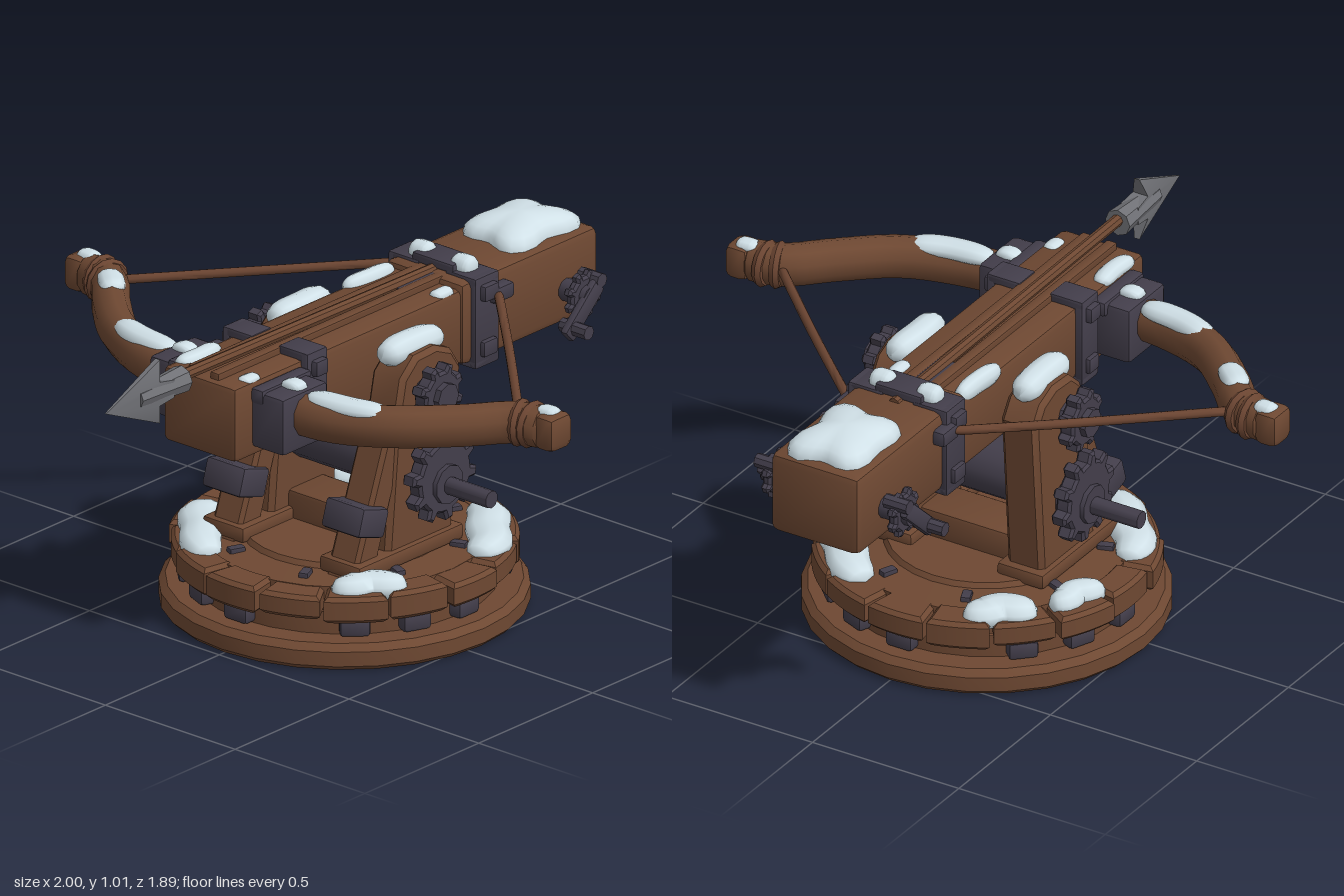
import * as THREE from 'three';
import { toCreasedNormals } from 'three/addons/utils/BufferGeometryUtils.js';
import { RoundedBoxGeometry } from 'three/addons/geometries/RoundedBoxGeometry.js';

const material = (name, color) => {
  const m = new THREE.MeshStandardMaterial({ color });
  m.name = name;
  return m;
};
const V = (x, y, z) => new THREE.Vector3(x, y, z);

export function createModel() {
  const root = new THREE.Group();
  root.name = 'ballista';
  const wood = material('wood', 0x6e4832);
  const iron = material('dark iron', 0x433e4b);
  const steel = material('steel', 0x707176);
  const snow = material('snow', 0xd3e3ea);
  const rope = material('rope', 0x6a4431);

  const add = (name, geo, mat, x = 0, y = 0, z = 0, crease = 0.65) => {
    const mesh = new THREE.Mesh(toCreasedNormals(geo, crease), mat);
    mesh.name = name;
    mesh.position.set(x, y, z);
    root.add(mesh);
    return mesh;
  };
  const box = (name, mat, w, h, d, x, y, z, bevel = 0.012) =>
    add(name, new RoundedBoxGeometry(w, h, d, 1, bevel), mat, x, y, z);
  // Cylinder lying along z
  const axle = (name, mat, r, len, x, y, z, sides = 10) =>
    add(name, new THREE.CylinderGeometry(r, r, len, sides).rotateX(Math.PI / 2), mat, x, y, z);
  // Round-ended sweep along a curve, width and height given as radii
  const sweep = (name, mat, pts, width, height, power = 4, crease = 1.2) => {
    const curve = new THREE.CatmullRomCurve3(pts);
    const n = 18, sides = 10;
    const geo = new THREE.TubeGeometry(curve, n, 1, sides);
    const pos = geo.attributes.position;
    for (let i = 0; i <= n; i++) {
      const t = i / n, c = curve.getPointAt(t);
      const k = Math.max(0.001, Math.pow(1 - Math.abs(2 * t - 1) ** power, 0.5));
      for (let j = 0; j <= sides; j++) {
        const q = i * (sides + 1) + j;
        const p = V().fromBufferAttribute(pos, q).sub(c);
        pos.setXYZ(q, c.x + p.x * width * k, c.y + p.y * height * k, c.z + p.z * width * k);
      }
    }
    return add(name, geo, mat, 0, 0, 0, crease);
  };
  const extrude = (shape, depth, bevel = 0.008) => new THREE.ExtrudeGeometry(shape, {
    depth: depth - 2 * bevel, bevelThickness: bevel, bevelSize: bevel, bevelOffset: -bevel, bevelSegments: 1, curveSegments: 6,
  }).translate(0, 0, bevel - depth / 2);
  const polygon = (pts) => new THREE.Shape(pts.map(([x, y]) => new THREE.Vector2(x, y)));
  const gear = (name, r, teeth, depth, x, y, z) => {
    const pts = [];
    for (let i = 0; i < teeth; i++) {
      [[0, 0.8], [0.22, 0.8], [0.34, 1], [0.66, 1], [0.78, 0.8]].forEach(([f, k]) => {
        const a = ((i + f) / teeth) * Math.PI * 2;
        pts.push([Math.cos(a) * r * k, Math.sin(a) * r * k]);
      });
    }
    return add(name, extrude(polygon(pts), depth), iron, x, y, z);
  };

  // Turntable base
  const cx = 0.05;
  const disc = (name, mat, pts) => add(name,
    new THREE.LatheGeometry(pts.map(([r, y]) => new THREE.Vector2(r, y)), 28), mat, cx, 0, 0);
  disc('baseDisc', wood, [[0, 0], [0.525, 0], [0.54, 0.015], [0.54, 0.06], [0.52, 0.08], [0, 0.08]]);
  disc('turntableCore', wood, [[0.45, 0.07], [0.45, 0.15]]);
  disc('deck', wood, [[0, 0.14], [0.42, 0.14], [0.42, 0.215], [0.3, 0.22], [0.29, 0.235], [0, 0.235]]);
  const planks = 16;
  for (let i = 0; i < planks; i++) {
    const a = (i / planks) * Math.PI * 2, half = Math.PI / planks - 0.012;
    const r = 0.507 + 0.008 * Math.sin(i * 2.7);
    const s = new THREE.Shape();
    s.absarc(0, 0, r, -half, half, false);
    s.absarc(0, 0, 0.4, half, -half, true);
    const plank = add('rimPlank', extrude(s, 0.08 + 0.008 * Math.sin(i * 1.9), 0.012).rotateX(-Math.PI / 2), wood, cx, 0.177, 0);
    plank.rotation.y = a;
    if (i % 4 !== 1) {
      const block = box('turntableRoller', iron, 0.06, 0.055, 0.09, cx + Math.cos(a) * 0.455, 0.11, -Math.sin(a) * 0.455);
      block.rotation.y = a;
    }
    if (i % 2) {
      const bolt = box('deckBolt', iron, 0.05, 0.02, 0.03, cx + Math.cos(a) * 0.35, 0.222, -Math.sin(a) * 0.35, 0.005);
      bolt.rotation.y = a;
    }
  }

  // Stock with guide rails
  box('stockFront', wood, 1.04, 0.235, 0.28, -0.07, 0.782, 0, 0.018);
  box('stockRear', wood, 0.6, 0.26, 0.305, 0.695, 0.79, 0, 0.025);
  for (const s of [-1, 1]) box('guideRail', wood, 1.02, 0.03, 0.035, -0.06, 0.905, s * 0.042, 0.006);
  box('triggerPlate', iron, 0.32, 0.02, 0.09, 0.42, 0.908, 0, 0.005);

  // Iron bands around the stock
  const band = (name, x, w, halfZ, y0, y1) => {
    const t = 0.03, h = y1 - y0, cy = (y0 + y1) / 2;
    for (const s of [-1, 1]) {
      box(name + 'Side', iron, w, h, t, x, cy, s * (halfZ - t / 2), 0.008);
      box(name + 'Lug', iron, w * 0.6, 0.05, 0.04, x, y1 - 0.05, s * halfZ, 0.008);
      box(name + 'Lug', iron, w * 0.6, 0.05, 0.03, x, y0 + 0.06, s * halfZ, 0.008);
      box(name + 'Top', iron, w, t, halfZ - 0.05, x, y1 - t / 2, s * (halfZ + 0.05) / 2, 0.008);
    }
    box(name + 'Bottom', iron, w, t, halfZ * 2, x, y0 + t / 2, 0, 0.008);
  };
  band('frontBand', -0.255, 0.09, 0.165, 0.645, 0.925);
  band('rearBand', 0.485, 0.105, 0.17, 0.645, 0.93);
  box('rearBandBridge', iron, 0.1, 0.03, 0.16, 0.485, 0.935, 0, 0.008);

  // Bolt: shaft, socket and barbed head
  add('boltShaft', new THREE.CylinderGeometry(0.018, 0.018, 1.25, 8).rotateZ(Math.PI / 2), wood, -0.07, 0.922, 0).rotation.z = -0.012;
  add('boltSocket', new THREE.CylinderGeometry(0.028, 0.042, 0.2, 8).rotateZ(Math.PI / 2), steel, -0.765, 0.92, 0);
  const head = polygon([[-1, 0.915], [-0.77, 1.015], [-0.79, 0.955], [-0.73, 0.945], [-0.73, 0.89], [-0.79, 0.88], [-0.77, 0.815]]);
  const headGeo = new THREE.ExtrudeGeometry(head, { depth: 0.06, bevelEnabled: false }).translate(0, 0, -0.03);
  const hp = headGeo.attributes.position;
  for (let i = 0; i < hp.count; i++) { // thin toward tip and barbs
    const k = Math.min(1, (hp.getX(i) + 1) * 4) * (Math.abs(hp.getY(i) - 0.915) > 0.08 ? 0.25 : 1);
    hp.setZ(i, hp.getZ(i) * (0.1 + 0.9 * k));
  }
  add('boltHead', headGeo, steel);

  // Everything mirrored on both sides of the stock
  for (const s of [-1, 1]) {
    // Posts and slanted braces
    const post = polygon([[-0.09, 0.22], [0.2, 0.22], [0.24, 0.76], [0.2, 0.82], [0.13, 0.85], [0.04, 0.845], [-0.02, 0.79], [-0.05, 0.65]]);
    add('post', extrude(post, 0.125, 0.015), wood, 0, 0, s * 0.225);
    const brace = polygon([[-0.23, 0.22], [-0.13, 0.22], [0.02, 0.66], [-0.06, 0.68]]);
    add('brace', extrude(brace, 0.11, 0.012), wood, 0, 0, s * 0.225);
    box('postFoot', wood, 0.46, 0.05, 0.16, 0, 0.245, s * 0.225);
    box('braceCleat', iron, 0.12, 0.09, 0.15, -0.165, 0.39, s * 0.23).rotation.z = -0.3;

    // Gears and shafts
    const big = gear('largeGear', 0.14, 10, 0.05, 0.075, 0.48, s * 0.345);
    big.rotation.z = 0.15;
    axle('largeGearHub', iron, 0.06, 0.1, 0.075, 0.46, s * 0.335);
    axle('largeGearShaft', iron, 0.027, 0.25, 0.075, 0.457, s * 0.42);
    gear('smallGear', 0.095, 8, 0.05, 0.075, 0.73, s * 0.335);
    axle('smallGearHub', iron, 0.045, 0.11, 0.075, 0.73, s * 0.325, 8);

    // Bow clamp, limb and lashing
    box('bowClamp', iron, 0.2, 0.18, 0.13, -0.415, 0.785, s * 0.195, 0.015);
    box('bowClampPlate', iron, 0.22, 0.05, 0.05, -0.41, 0.86, s * 0.16);
    sweep('bowLimb', wood, [V(-0.42, 0.8, s * 0.18), V(-0.4, 0.8, s * 0.36), V(-0.33, 0.81, s * 0.53),
      V(-0.2, 0.815, s * 0.68), V(-0.09, 0.82, s * 0.79), V(-0.065, 0.82, s * 0.92)], 0.058, 0.066, 24, 0.8);
    box('limbTip', wood, 0.1, 0.11, 0.08, -0.067, 0.82, s * 0.905, 0.025);
    for (let i = 0; i < 2; i++) {
      const ring = add('lashing', new THREE.TorusGeometry(0.055, 0.017, 6, 14), rope, -0.085 + i * 0.012, 0.82, s * (0.795 + i * 0.035));
      ring.rotation.set(0, s * (0.3 - i * 0.25), i * 0.3);
    }
    sweep('bowString', rope, [V(-0.08, 0.825, s * 0.79), V(0.25, 0.845, s * 0.46), V(0.54, 0.865, s * 0.16)], 0.014, 0.014, 60);
    box('stringCatch', iron, 0.09, 0.05, 0.05, 0.54, 0.86, s * 0.165);

    // Winch on the rear of the stock
    gear('winchGear', 0.075, 8, 0.03, 0.85, 0.765, s * 0.215);
    axle('winchAxle', iron, 0.035, 0.11, 0.85, 0.765, s * 0.195);
    box('winchCrank', iron, 0.19, 0.055, 0.03, 0.815, 0.735, s * 0.245).rotation.z = 0.75;
    axle('winchHandle', iron, 0.022, 0.1, 0.77, 0.695, s * 0.26, 8);
    axle('winchPin', iron, 0.022, 0.08, 0.885, 0.81, s * 0.22, 8);
  }
  axle('windlassDrum', iron, 0.09, 0.34, 0.075, 0.49, 0, 14);
  box('crossBeam', wood, 0.16, 0.1, 0.36, 0.07, 0.27, 0);

  // Snow drifts: flat path points [x, z], height, width, thickness
  const drift = (pts, y, w, h) => sweep('snowDrift', snow, pts.map(([x, z]) => V(x, y, z)), w, h, 4, 3);
  const arc = (a0, a1, w) => {
    const pts = [];
    for (let i = 0; i <= 4; i++) {
      const a = THREE.MathUtils.degToRad(a0 + ((a1 - a0) * i) / 4), r = 0.425 + 0.012 * Math.sin(i * 2.2);
      pts.push([cx + Math.cos(a) * r, -Math.sin(a) * r]);
    }
    drift(pts, 0.217, w, 0.042);
  };
  arc(23, 52, 0.065);
  arc(57, 82, 0.05);
  arc(104, 158, 0.065);
  arc(216, 246, 0.06);
  arc(284, 338, 0.068);
  for (const s of [-1, 1]) {
    drift([[-0.03, s * 0.215], [0.09, s * 0.21], [0.22, s * 0.22]], 0.845, 0.05, 0.045);
    drift([[-0.4, s * 0.25], [-0.385, s * 0.4], [-0.345, s * 0.52]].map(([x, z]) => [x, z]), 0.85, 0.045, 0.03);
    drift([[-0.44, s * 0.21], [-0.38, s * 0.21]], 0.876, 0.038, 0.02);
    drift([[-0.065, s * 0.85], [-0.06, s * 0.92]], 0.87, 0.03, 0.02);
    drift([[0.485, s * 0.04], [0.485, s * 0.12]], 0.935, 0.036, 0.035);
  }
  drift([[-0.21, -0.66], [-0.12, -0.76]], 0.87, 0.04, 0.025);
  drift([[-0.55, -0.12], [-0.46, -0.11], [-0.37, -0.12]], 0.895, 0.032, 0.025);
  drift([[-0.53, 0.11], [-0.46, 0.11]], 0.895, 0.025, 0.015);
  drift([[0.19, -0.13], [0.3, -0.12], [0.4, -0.12]], 0.895, 0.028, 0.035);
  drift([[0.31, 0.11], [0.39, 0.11]], 0.895, 0.025, 0.02);
  // Large lobed cap on the rear block
  const cap = new THREE.SphereGeometry(1, 28, 12);
  const cp = cap.attributes.position;
  for (let i = 0; i < cp.count; i++) {
    const x = cp.getX(i), z = cp.getZ(i), a = Math.atan2(z, x);
    const k = 1 - 0.17 * Math.cos(4 * a) + 0.05 * Math.sin(3 * a);
    cp.setXYZ(i, x * k * 0.165, Math.sign(cp.getY(i)) * Math.abs(cp.getY(i)) ** 0.7 * 0.07, z * k * 0.135);
  }
  add('snowCap', cap, snow, 0.82, 0.912, 0, 3);
  return root;
}
